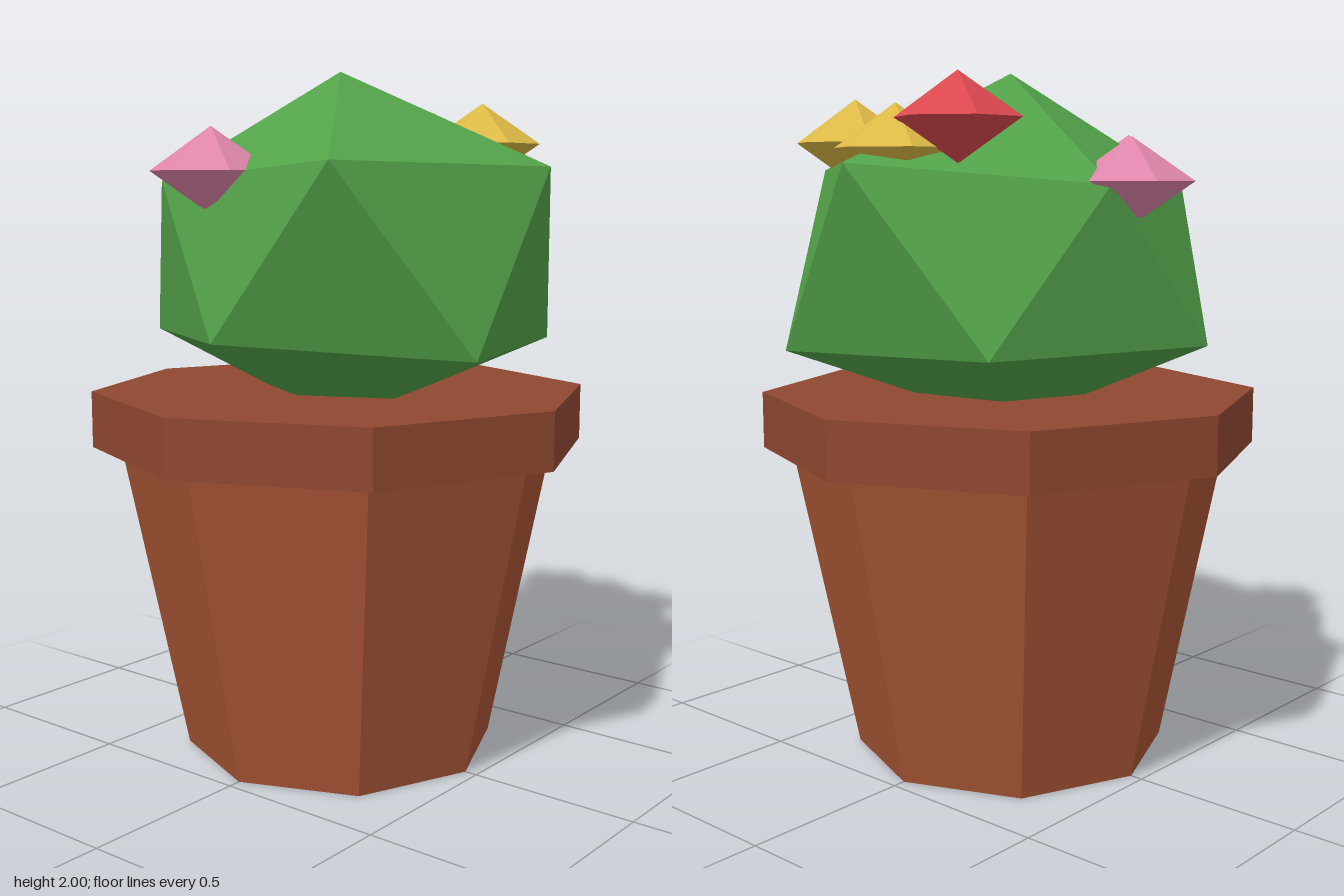
import * as THREE from 'three';

const paint = (name, color) => {
  const m = new THREE.MeshStandardMaterial({ color });
  m.name = name;
  m.flatShading = true;
  return m;
};

// Irregular twenty-sided body: two poles and two staggered rings of five
function cactusGeometry() {
  const centre = 1.48, slope = 0.4;
  const upperRadii = [0.655, 0.62, 0.648, 0.522, 0.515];
  const lowerRadii = [0.66, 0.645, 0.555, 0.6, 0.605];
  const ring = (radii, turn, side) => radii.map((r, i) => {
    const a = (i + turn) * Math.PI * 2 / 5;
    return [r * Math.cos(a), centre + side * slope * r, r * Math.sin(a)];
  });
  const u = ring(upperRadii, 0, 1), l = ring(lowerRadii, 0.5, -1);
  const top = [0, 2, 0], bottom = [0, 0.98, 0];
  const points = [];
  for (let i = 0; i < 5; i++) {
    const j = (i + 1) % 5;
    points.push(top, u[j], u[i], u[i], u[j], l[i], l[i], u[j], l[j], bottom, l[i], l[j]);
  }
  const g = new THREE.BufferGeometry();
  g.setAttribute('position', new THREE.Float32BufferAttribute(points.flat(), 3));
  g.computeVertexNormals();
  return g;
}

export function createModel() {
  const group = new THREE.Group();
  const clay = paint('terracotta', 0xa65434);
  const rimClay = paint('dark terracotta', 0x8f4730);
  const green = paint('cactus green', 0x53a34a);
  const pink = paint('pink petals', 0xdf86ab);
  const red = paint('red petals', 0xdc484f);
  const yellow = paint('yellow petals', 0xdcb946);

  const add = (name, geometry, material, x, y, z) => {
    const mesh = new THREE.Mesh(geometry, material);
    mesh.name = name;
    mesh.position.set(x, y, z);
    group.add(mesh);
  };

  // Eight-sided pot with a thick rim
  add('potBody', new THREE.CylinderGeometry(0.65, 0.463, 0.92, 8), clay, 0, 0.46, 0);
  add('potRim', new THREE.CylinderGeometry(0.732, 0.732, 0.165, 8), rimClay, 0, 1.0, 0);

  add('cactus', cactusGeometry(), green, 0, 0, 0);

  // Six-sided double-cone flowers
  const flower = new THREE.SphereGeometry(0.173, 6, 2).scale(1, 0.69, 1);
  add('redFlower', flower, red, 0.415, 1.86, -0.182);
  add('yellowFlowerFront', flower, yellow, 0.394, 1.8, 0.23);
  add('yellowFlowerSide', flower, yellow, 0.453, 1.783, 0.01);
  add('pinkFlowerBack', flower, pink, 0.032, 1.695, -0.458);
  add('pinkFlowerRight', flower, pink, -0.448, 1.716, -0.09);

  return group;
}
